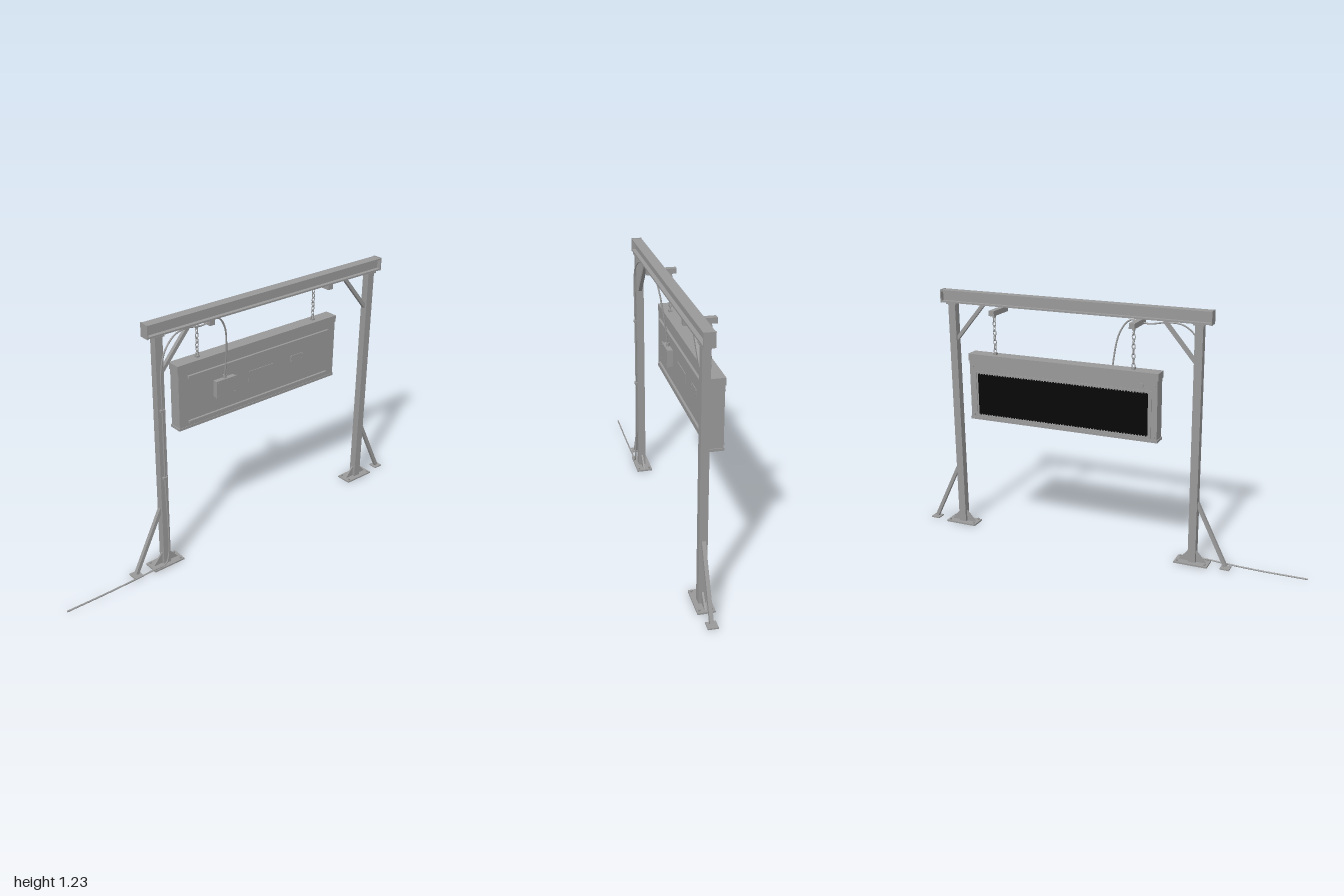
import * as THREE from 'three';

const mat = (name, color) => {
  const m = new THREE.MeshStandardMaterial({ color });
  m.name = name;
  return m;
};

export function createModel() {
  const steel = mat('grey steel', 0x999999);
  const black = mat('black screen', 0x050505);
  const root = new THREE.Group();
  root.name = 'hangingSignGantry';
  const Z = 0.046; // depth of the gantry plane

  const add = (name, geo, x, y, z, parent = root, material = steel) => {
    const m = new THREE.Mesh(geo, material);
    m.name = name;
    m.position.set(x, y, z);
    parent.add(m);
    return m;
  };
  // box given by its limits on each axis
  const box = (name, x0, x1, y0, y1, z0, z1, parent, material) =>
    add(name, new THREE.BoxGeometry(x1 - x0, y1 - y0, z1 - z0),
      (x0 + x1) / 2, (y0 + y1) / 2, (z0 + z1) / 2, parent, material);
  // square bar between two points in the gantry plane
  const bar = (name, ax, ay, bx, by, w, parent) => {
    const m = add(name, new THREE.BoxGeometry(w, Math.hypot(bx - ax, by - ay), w),
      (ax + bx) / 2, (ay + by) / 2, Z, parent);
    m.rotation.z = -Math.atan2(bx - ax, by - ay);
  };
  // round disc or bolt facing along z
  const disc = (name, x, y, z, r, h, parent, sides = 12) => {
    const m = add(name, new THREE.CylinderGeometry(r, r, h, sides), x, y, z, parent);
    m.rotation.x = Math.PI / 2;
  };

  // Top I-beam with end plates
  const beam = new THREE.Group();
  beam.name = 'topBeam';
  root.add(beam);
  box('upperFlange', -0.505, 0.86, 1.222, 1.23, 0.022, 0.07, beam);
  box('lowerFlange', -0.505, 0.86, 1.17, 1.178, 0.022, 0.07, beam);
  box('web', -0.505, 0.86, 1.178, 1.222, 0.041, 0.051, beam);
  for (const x of [-0.51, 0.86]) box('endPlate', x, x + 0.006, 1.168, 1.232, 0.021, 0.071, beam);

  // Posts with base plates, gussets and braces; s points outward
  const gusset = new THREE.ExtrudeGeometry(
    new THREE.Shape([[0.018, 0], [0.068, 0], [0.018, 0.058]].map(p => new THREE.Vector2(...p))),
    { depth: 0.008, bevelEnabled: false });
  for (const [side, x, s] of [['right', -0.45, -1], ['left', 0.808, 1]]) {
    const post = new THREE.Group();
    post.name = side + 'Post';
    root.add(post);
    box('column', x - 0.019, x + 0.019, 0.008, 1.165, 0.028, 0.064, post);
    box('capPlate', x - 0.026, x + 0.026, 1.163, 1.17, 0.021, 0.071, post);
    box('basePlate', x - 0.083, x + 0.083, 0, 0.008, 0.006, 0.084, post);
    add('gusset', gusset, x, 0.008, Z - 0.004, post);
    add('gusset', gusset, x, 0.008, Z + 0.004, post).rotation.y = Math.PI;
    for (const dx of [-0.068, 0.068]) for (const dz of [-0.027, 0.027])
      add('anchorBolt', new THREE.CylinderGeometry(0.005, 0.005, 0.008, 6), x + dx, 0.012, Z + dz, post);
    const foot = x + s * 0.165;
    box('braceFoot', foot - 0.023, foot + 0.023, 0, 0.006, 0.022, 0.068, post);
    bar('outerBrace', foot - s * 0.002, 0.01, x + s * 0.016, 0.312, 0.017, post);
    bar('kneeBrace', x - s * 0.015, 0.99, x - s * 0.165, 1.168, 0.017, post);
  }

  // Hanging arms and chains
  const link = new THREE.TorusGeometry(0.0075, 0.0022, 6, 14);
  link.scale(1, 1.75, 1);
  for (const x of [-0.172, 0.532]) {
    const hanger = new THREE.Group();
    hanger.name = 'hanger';
    root.add(hanger);
    box('hangerArm', x - 0.014, x + 0.014, 1.145, 1.17, -0.075, 0.068, hanger);
    box('upperLug', x - 0.006, x + 0.006, 1.133, 1.145, -0.054, -0.042, hanger);
    box('lowerLug', x - 0.009, x + 0.009, 0.954, 0.964, -0.057, -0.039, hanger);
    for (let i = 0; i < 8; i++)
      add('chainLink', link, x, 0.971 + i * 0.0222, -0.048, hanger).rotation.y = (i % 2) * Math.PI / 2;
  }

  // Sign cabinet
  const sign = new THREE.Group();
  sign.name = 'sign';
  root.add(sign);
  box('cabinet', -0.3, 0.657, 0.638, 0.922, -0.08, -0.018, sign);
  box('topCap', -0.304, 0.661, 0.922, 0.955, -0.083, -0.016, sign);
  box('bottomTrim', -0.304, 0.661, 0.629, 0.641, -0.083, -0.016, sign);
  for (const y of [0.889, 0.663])
    box('mountingRail', -0.25, 0.606, y - 0.007, y + 0.007, -0.018, -0.007, sign);

  // Service details on the front
  box('namePlate', 0.105, 0.255, 0.757, 0.812, -0.018, -0.015, sign);
  box('smallPlate', 0.365, 0.447, 0.783, 0.817, -0.018, -0.015, sign);
  for (const x of [0.372, 0.44]) for (const y of [0.79, 0.81])
    disc('plateScrew', x, y, -0.0145, 0.003, 0.003, sign, 8);
  box('junctionBox', -0.104, 0.008, 0.747, 0.828, -0.018, 0.003, sign);
  box('junctionLid', -0.107, 0.011, 0.744, 0.831, 0.003, 0.01, sign);
  for (const x of [-0.096, 0]) for (const y of [0.755, 0.82])
    disc('lidScrew', x, y, 0.011, 0.003, 0.003, sign, 8);
  add('cableGland', new THREE.CylinderGeometry(0.008, 0.008, 0.016, 10), -0.048, 0.838, -0.006, sign);

  // Display on the back: screen, pixel edge, frame and fixings
  box('screen', -0.255, 0.613, 0.66, 0.857, -0.083, -0.079, sign, black);
  const tooth = new THREE.BoxGeometry(0.007, 0.006, 0.004);
  for (let i = 0; i < 62; i++) for (const y of [0.659, 0.858])
    add('screenEdgeTooth', tooth, -0.248 + i * 0.014, y, -0.081, sign, black);
  box('frameTop', -0.272, 0.63, 0.865, 0.872, -0.083, -0.08, sign);
  box('frameBottom', -0.272, 0.63, 0.645, 0.652, -0.083, -0.08, sign);
  for (const x of [-0.272, 0.623]) box('frameSide', x, x + 0.007, 0.652, 0.865, -0.083, -0.08, sign);
  for (const x of [-0.285, 0.642]) for (const y of [0.655, 0.895])
    disc('cornerBolt', x, y, -0.082, 0.007, 0.006, sign, 8);
  disc('lightSensor', -0.222, 0.893, -0.082, 0.011, 0.006, sign, 16);

  // Power cable: along the ground, up the post, over to the junction box
  const path = new THREE.CatmullRomCurve3([
    [-1, 0.004, 0.076], [-0.75, 0.004, 0.076], [-0.55, 0.012, 0.077], [-0.47, 0.02, 0.079],
    [-0.452, 0.06, 0.078], [-0.45, 0.48, 0.07], [-0.45, 0.82, 0.07], [-0.448, 1.02, 0.071],
    [-0.425, 1.1, 0.071], [-0.37, 1.15, 0.062], [-0.3, 1.16, 0.05], [-0.21, 1.148, 0.045],
    [-0.12, 1.158, 0.04], [-0.075, 1.1, 0.03], [-0.052, 0.98, 0.012], [-0.048, 0.84, -0.005],
  ].map(p => new THREE.Vector3(...p)), false, 'centripetal');
  add('powerCable', new THREE.TubeGeometry(path, 160, 0.004, 8), 0, 0, 0);
  for (const y of [0.48, 0.82]) box('cableClip', -0.462, -0.438, y - 0.005, y + 0.005, 0.062, 0.077);

  return root;
}
